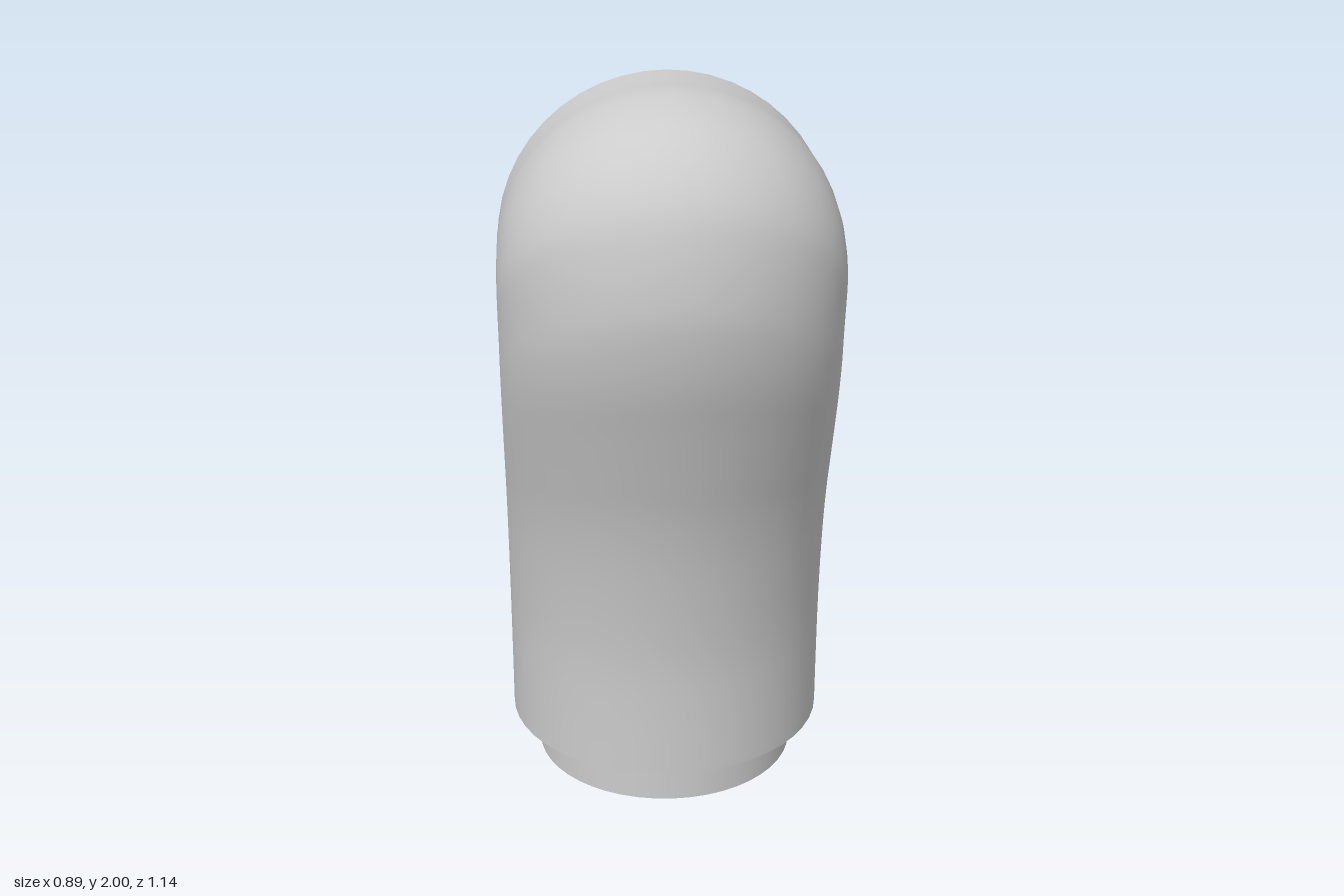
import * as THREE from 'three';

const R = 0.445;        // half width of the whole body
const BASE_Z = -0.125;  // centre of the lower end
const SIDES = 48;
const STEPS = 72;

// Paired [z, y] points: front edge and back edge of each cross-section
const frontEdge = [
  [0.32, 0.13], [0.322, 0.3], [0.328, 0.45], [0.345, 0.6], [0.375, 0.78], [0.41, 0.93],
  [0.45, 1.06], [0.495, 1.2], [0.54, 1.34], [0.565, 1.46], [0.572, 1.56], [0.558, 1.69],
  [0.525, 1.8], [0.45, 1.9], [0.35, 1.965], [0.21, 2.0], [0.08, 2.0], [-0.03, 2.0],
];
const backEdge = [
  [-0.57, 0.13], [-0.565, 0.3], [-0.53, 0.45], [-0.465, 0.575], [-0.36, 0.7], [-0.235, 0.805],
  [-0.135, 0.9], [-0.07, 1.0], [-0.028, 1.1], [-0.008, 1.18], [0, 1.25], [0.005, 1.27],
  [0.008, 1.25], [0.008, 1.2], [0.008, 1.15], [0.005, 1.12], [0, 1.11], [-0.03, 1.11],
];

const spline = (pts) => new THREE.SplineCurve(pts.map(([z, y]) => new THREE.Vector2(z, y)));

// S-shaped body: round front half, back half flattened through the waist
function bodyGeometry() {
  const front = spline(frontEdge), back = spline(backEdge);
  const pos = [], index = [];
  for (let i = 0; i <= STEPS; i++) {
    const f = front.getPoint(i / STEPS), b = back.getPoint(i / STEPS);
    const dir = f.clone().sub(b);
    const depth = dir.length();
    dir.normalize();
    const c = f.clone().addScaledVector(dir, -R);
    for (let j = 0; j < SIDES; j++) {
      const t = (j / SIDES) * Math.PI * 2;
      const s = Math.cos(t) * (Math.cos(t) > 0 ? R : depth - R);
      pos.push(R * Math.sin(t), c.y + dir.y * s, c.x + dir.x * s);
      if (i < STEPS) {
        const a = i * SIDES + j, n = i * SIDES + (j + 1) % SIDES;
        index.push(a, n, n + SIDES, a, n + SIDES, a + SIDES);
      }
    }
  }
  const g = new THREE.BufferGeometry();
  g.setAttribute('position', new THREE.Float32BufferAttribute(pos, 3));
  g.setIndex(index);
  g.computeVertexNormals();
  return g;
}

export function createModel() {
  const group = new THREE.Group();
  const material = new THREE.MeshStandardMaterial({ color: 0xcccccc });
  const add = (name, geometry) => {
    const mesh = new THREE.Mesh(geometry, material);
    mesh.name = name;
    group.add(mesh);
  };

  add('body', bodyGeometry());

  // Flat underside of the body
  add('bodyUnderside', new THREE.CircleGeometry(R, SIDES)
    .rotateX(Math.PI / 2).translate(0, 0.13, BASE_Z));

  // Narrower plug the body stands on
  add('basePlug', new THREE.CylinderGeometry(0.37, 0.37, 0.13, SIDES)
    .translate(0, 0.065, BASE_Z));

  // Flat round face at the back of the head, with its overhanging lip
  add('headDisc', new THREE.CylinderGeometry(R, R, 0.075, SIDES)
    .rotateX(Math.PI / 2).translate(0, 1.555, -0.0275));

  return group;
}
